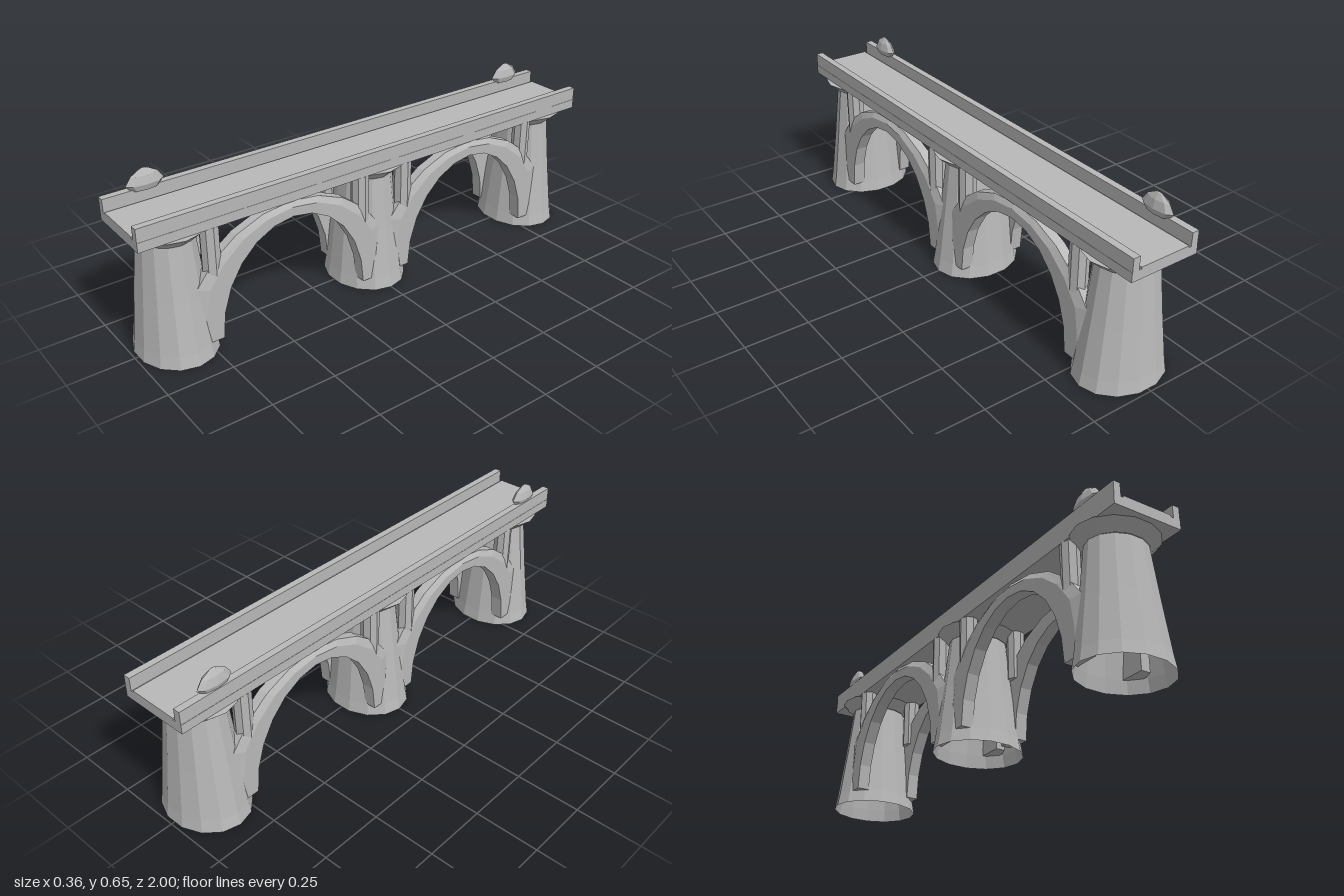
import * as THREE from 'three';

const stone = new THREE.MeshStandardMaterial({ color: 0xb8b8b8, flatShading: true, side: THREE.DoubleSide });
stone.name = 'greyStone';

function add(parent, name, geometry, x = 0, y = 0, z = 0) {
  const mesh = new THREE.Mesh(geometry, stone);
  mesh.name = name;
  mesh.position.set(x, y, z);
  parent.add(mesh);
  return mesh;
}

// Fourteen-sided oval ring wall from a [radius, height] profile, flat facet to the front
function ovalLathe(profile, depthRatio) {
  const points = profile.map(([r, y]) => new THREE.Vector2(r, y));
  return new THREE.LatheGeometry(points, 14, Math.PI / 2).scale(1, 1, depthRatio);
}

// Arched rib: a section with one chamfered outer edge swept over half an ellipse
function ribGeometry() {
  const section = [[0.093, 0], [0.143, 0], [0.143, 0.65], [0.13, 1], [0.093, 1]];
  const n = section.length, steps = 12, base = 0.05;
  const positions = [], index = [];
  for (let i = 0; i <= steps; i++) {
    const a = (i / steps) * Math.PI;
    for (const [x, t] of section) {
      const outerZ = THREE.MathUtils.clamp(0.45 * Math.cos(a), -0.4, 0.4);
      const z = THREE.MathUtils.lerp(0.305 * Math.cos(a), outerZ, t);
      const y = base + THREE.MathUtils.lerp(0.385, 0.44, t) * Math.sin(a);
      positions.push(x, y, z);
    }
  }
  for (let i = 0; i < steps; i++) {
    for (let j = 0; j < n; j++) {
      const a = i * n + j, b = i * n + (j + 1) % n;
      index.push(a, a + n, b, b, a + n, b + n);
    }
  }
  // Foot caps
  const last = steps * n;
  for (let j = 1; j < n - 1; j++) {
    index.push(0, j, j + 1, last, last + j + 1, last + j);
  }
  const geometry = new THREE.BufferGeometry();
  geometry.setAttribute('position', new THREE.Float32BufferAttribute(positions, 3));
  geometry.setIndex(index);
  geometry.computeVertexNormals();
  return geometry;
}

export function createModel() {
  const model = new THREE.Group();
  model.name = 'archBridge';

  // Deck, raised roadway and parapets
  add(model, 'deck', new THREE.BoxGeometry(0.28, 0.036, 2), 0, 0.51, 0);
  add(model, 'roadway', new THREE.BoxGeometry(0.202, 0.008, 2), 0, 0.531, 0);
  for (const s of [-1, 1]) {
    add(model, 'parapet', new THREE.BoxGeometry(0.028, 0.052, 2), s * 0.125, 0.553, 0);
  }

  // Hollow tapering piers with flared capitals
  const pier = ovalLathe([[0.178, 0], [0.169, 0.05], [0.143, 0.245], [0.118, 0.453]], 0.84);
  const capital = ovalLathe([[0.118, 0.453], [0.164, 0.493], [0, 0.493]], 0.86);
  for (const z of [-0.84, 0, 0.84]) {
    add(model, 'pier', pier, 0, 0, z);
    add(model, 'capital', capital, 0, 0, z);
  }

  // Ribs and spandrel columns, repeated on the other side by a half turn
  const rib = ribGeometry();
  const column = new THREE.CylinderGeometry(0.035, 0.035, 0.2, 8);
  for (const turn of [0, Math.PI]) {
    const side = new THREE.Group();
    side.name = turn ? 'rightSideArches' : 'leftSideArches';
    side.rotation.y = turn;
    for (const s of [-1, 1]) {
      add(side, 'archRib', rib, 0, 0, s * 0.415);
      for (const z of [0.1, 0.73]) add(side, 'spandrelColumn', column, 0.108, 0.393, s * z);
    }
    model.add(side);
  }

  // Flattened domed finials on one parapet
  const profile = [[0, 0.57], [0.05, 0.572], [0.071, 0.595], [0.05, 0.626], [0.014, 0.647], [0, 0.65]];
  const finial = new THREE.LatheGeometry(profile.map(([r, y]) => new THREE.Vector2(r, y)), 8).scale(0.345, 1, 1);
  for (const s of [-1, 1]) add(model, 'finial', finial, -0.117, 0, s * 0.84);

  return model;
}
